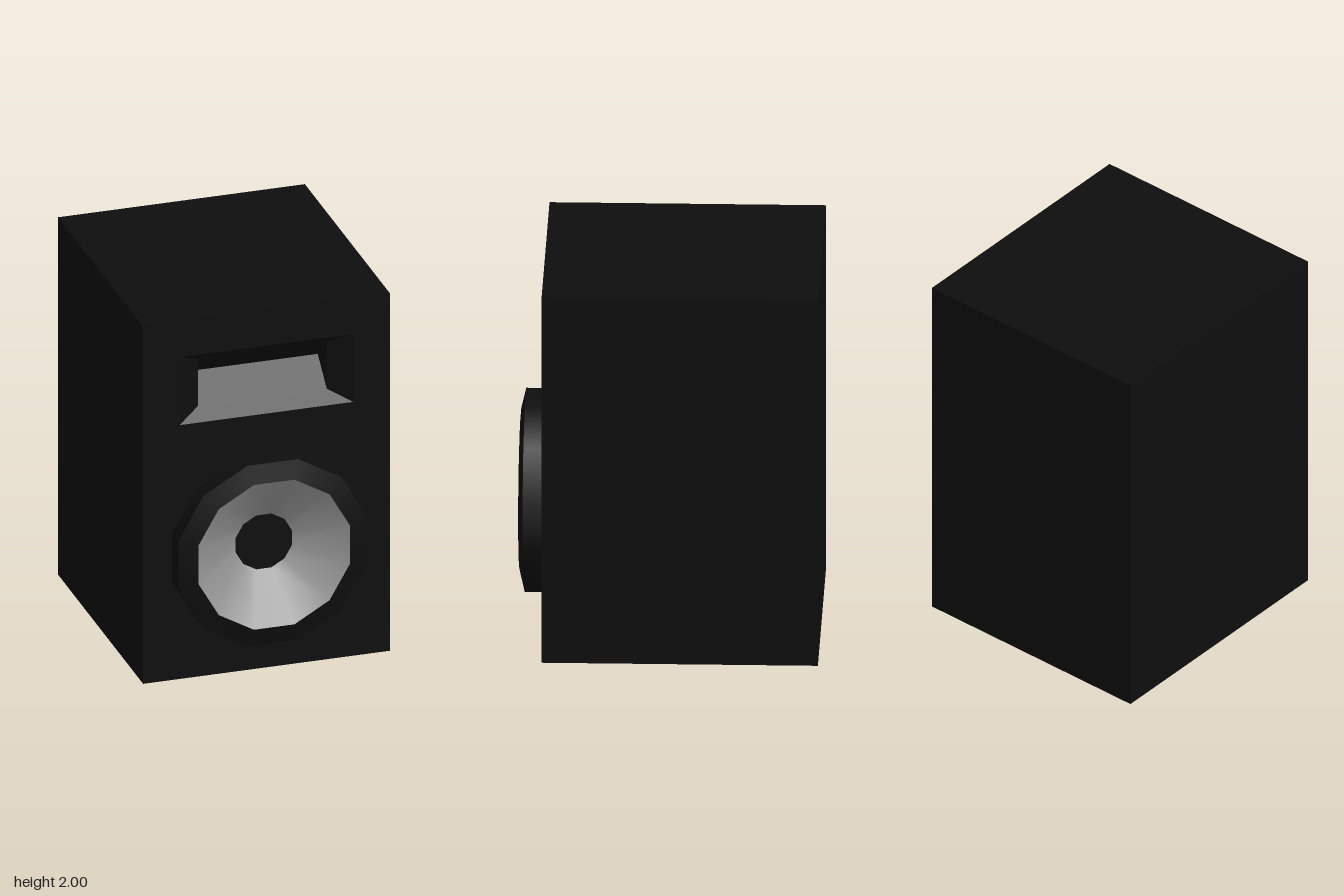
import * as THREE from 'three';

const HALF_W = 0.66, HEIGHT = 2, BACK = -0.767, FRONT = 0.64;
const WOOFER_Y = 0.685, HORN_Y = 1.61, SIDES = 12;

// Rectangle corners, counter-clockwise seen from the front
function rect(hw, hh, cy, z) {
  return [[-hw, -hh], [hw, -hh], [hw, hh], [-hw, hh]].map(([x, y]) => new THREE.Vector3(x, cy + y, z));
}

// Flat-shaded walls joining successive four-cornered loops that step inward
function recess(loops) {
  const pts = [];
  for (let i = 0; i + 1 < loops.length; i++) {
    const a = loops[i], b = loops[i + 1];
    for (let k = 0; k < 4; k++) {
      const n = (k + 1) % 4;
      pts.push(a[k], a[n], b[n], a[k], b[n], b[k]);
    }
  }
  const geo = new THREE.BufferGeometry().setFromPoints(pts);
  geo.computeVertexNormals();
  return geo;
}

// Twelve-sided turned part facing +z; profile is [radius, z]
function turned(name, profile, material) {
  const geo = new THREE.LatheGeometry(profile.map(([r, z]) => new THREE.Vector2(r, z)), SIDES, Math.PI / SIDES);
  geo.rotateX(Math.PI / 2);
  const mesh = new THREE.Mesh(geo, material);
  mesh.name = name;
  mesh.position.y = WOOFER_Y;
  return mesh;
}

export function createModel() {
  const black = new THREE.MeshStandardMaterial({ color: 0x0e0e0e });
  black.name = 'cabinet black';
  const grey = new THREE.MeshStandardMaterial({ color: 0x959595 });
  grey.name = 'cone grey';

  const model = new THREE.Group();
  model.name = 'loudspeaker';
  const add = (name, geo, mat) => {
    const mesh = new THREE.Mesh(geo, mat);
    mesh.name = name;
    model.add(mesh);
  };

  // Cabinet: box without its front face
  const box = new THREE.BoxGeometry(HALF_W * 2, HEIGHT, FRONT - BACK);
  const index = Array.from(box.index.array);
  index.splice(24, 6);
  box.setIndex(index);
  box.clearGroups();
  box.translate(0, HEIGHT / 2, (FRONT + BACK) / 2);
  add('cabinet', box, black);

  // Front baffle with openings for the horn and the woofer
  const to2 = (v) => new THREE.Vector2(v.x, v.y);
  const baffle = new THREE.Shape(rect(HALF_W, HEIGHT / 2, HEIGHT / 2, 0).map(to2));
  const hornMouth = rect(0.465, 0.19, HORN_Y, FRONT);
  baffle.holes.push(new THREE.Path(hornMouth.map(to2)));
  const circle = [];
  for (let i = 0; i < SIDES; i++) {
    const a = ((i + 0.5) / SIDES) * Math.PI * 2;
    circle.push(new THREE.Vector2(0.5 * Math.cos(a), WOOFER_Y + 0.5 * Math.sin(a)));
  }
  baffle.holes.push(new THREE.Path(circle));
  const baffleGeo = new THREE.ShapeGeometry(baffle);
  baffleGeo.translate(0, 0, FRONT);
  add('frontBaffle', baffleGeo, black);

  // Horn: sloped frame, then a wedge closing to a slit
  const throat = rect(0.345, 0.13, HORN_Y, FRONT - 0.07);
  add('hornFrame', recess([hornMouth, throat]), black);
  add('hornThroat', recess([throat, rect(0.345, 0, HORN_Y, FRONT - 0.22)]), black);

  // Woofer: surround wall, bevelled rim, cone and recessed cap
  model.add(
    turned('wooferSurround', [[0.523, FRONT - 0.01], [0.523, 0.742]], black),
    turned('wooferRim', [[0.523, 0.742], [0.419, 0.767]], black),
    turned('wooferCone', [[0.419, 0.767], [0.156, 0.595]], grey),
    turned('wooferCap', [[0.156, 0.595], [0, 0.595]], black),
  );
  return model;
}
